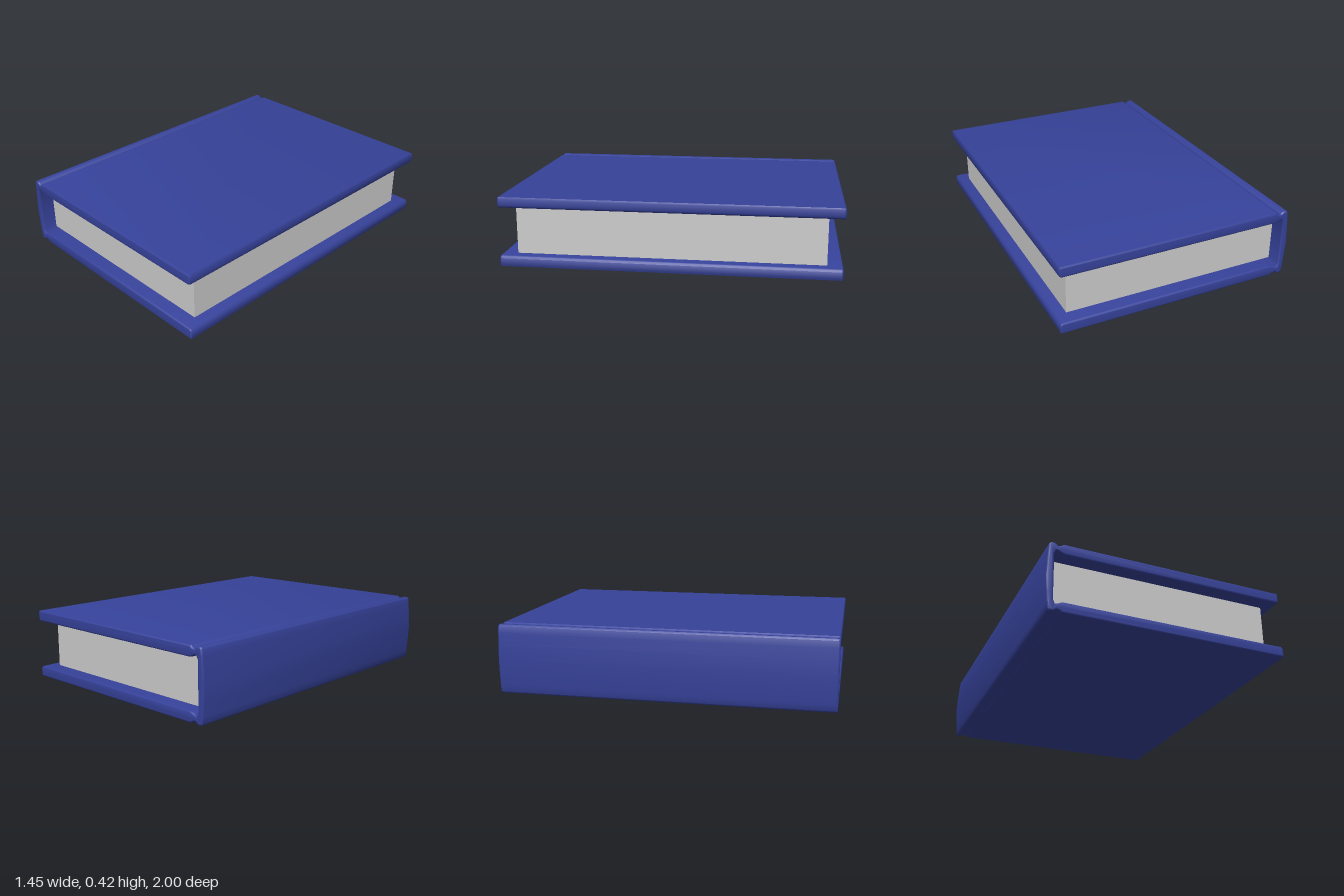
import * as THREE from 'three';
import { toCreasedNormals } from 'three/addons/utils/BufferGeometryUtils.js';

const MID = 0.21; // half of the book's thickness

// Upper half of the cover's cross-section, from inside the spine, round the board, to outside the spine
const upperHalf = [
  [-0.68, 0.35], [-0.67, 0.37], [-0.66, 0.37], [-0.64, 0.36], [-0.62, 0.355],
  [0.71, 0.355], [0.72, 0.36], [0.725, 0.37], [0.725, 0.41], [0.72, 0.42],
  [-0.63, 0.42], [-0.64, 0.41], [-0.66, 0.405], [-0.67, 0.415], [-0.68, 0.42],
  [-0.70, 0.42], [-0.71, 0.41], [-0.715, 0.37], [-0.72, 0.30], [-0.725, 0.21],
];

function coverGeometry() {
  // The lower half mirrors the upper one; the shared spine point is dropped
  const lowerHalf = upperHalf.slice(0, -1).reverse().map(([x, y]) => [x, 2 * MID - y]);
  const shape = new THREE.Shape([...upperHalf, ...lowerHalf].map(([x, y]) => new THREE.Vector2(x, y)));
  const bevel = 0.01;
  const geometry = new THREE.ExtrudeGeometry(shape, {
    depth: 2 - 2 * bevel, bevelEnabled: true, bevelThickness: bevel,
    bevelSize: bevel, bevelOffset: -bevel, bevelSegments: 3,
  });
  geometry.translate(0, 0, -1 + bevel);
  return toCreasedNormals(geometry, 0.7);
}

export function createModel() {
  const book = new THREE.Group();
  book.name = 'book';

  // Hardback cover: two boards, hinge grooves and a rounded spine
  const cover = new THREE.Mesh(coverGeometry(), new THREE.MeshStandardMaterial({ color: 0x36429a }));
  cover.name = 'cover';
  book.add(cover);

  // Page block, set back from the cover's edges
  const pages = new THREE.Mesh(
    new THREE.BoxGeometry(1.33, 0.29, 1.82),
    new THREE.MeshStandardMaterial({ color: 0xcccccc }),
  );
  pages.name = 'pages';
  pages.position.set(-0.01, MID, 0);
  book.add(pages);

  return book;
}
